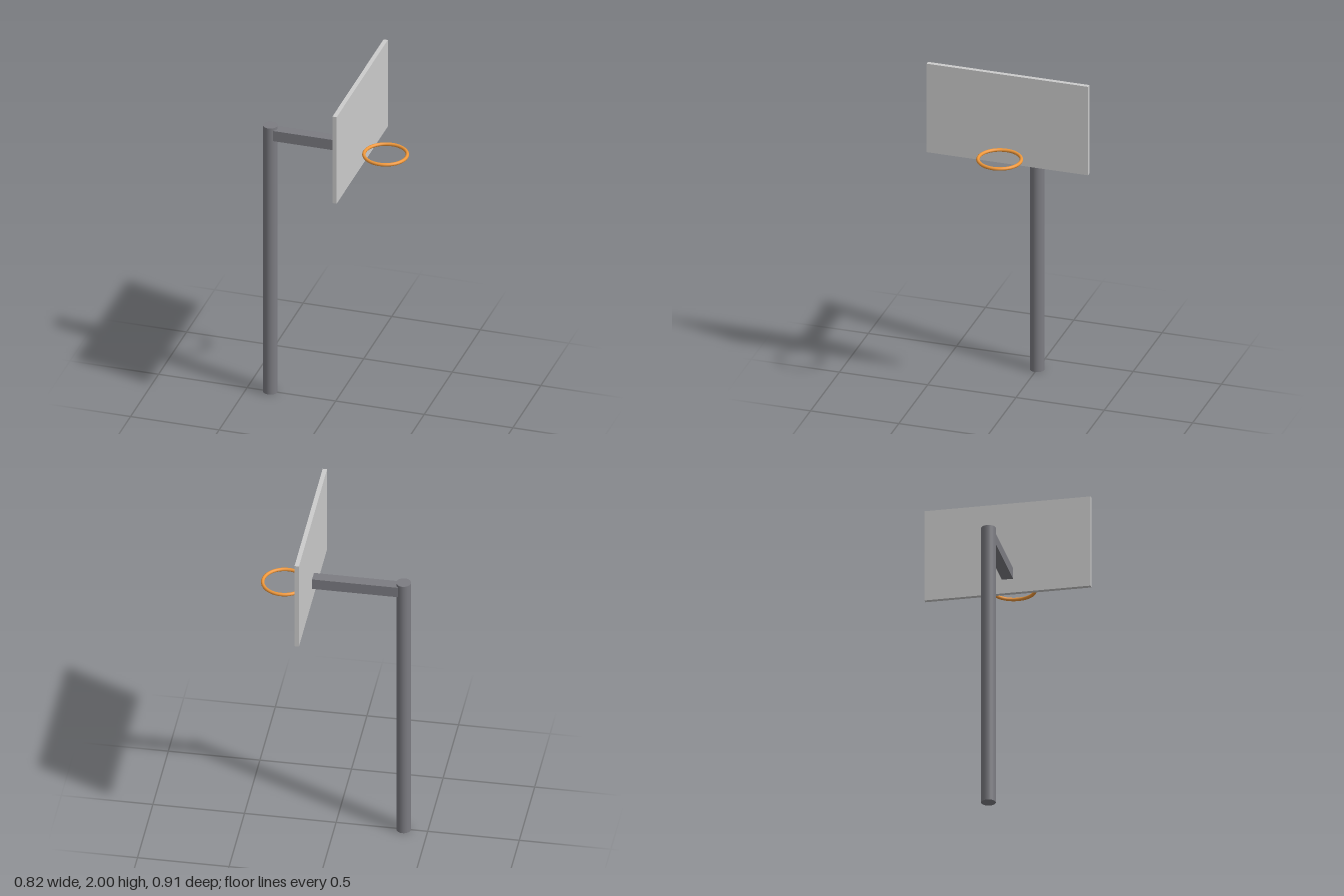
import * as THREE from 'three';

export function createModel() {
  const group = new THREE.Group();
  const steel = new THREE.MeshStandardMaterial({ color: 0x7c7c82 });
  const grey = new THREE.MeshStandardMaterial({ color: 0xcccccc });
  const orange = new THREE.MeshStandardMaterial({ color: 0xf0983a });

  const add = (name, geometry, material, x, y, z = 0) => {
    const mesh = new THREE.Mesh(geometry, material);
    mesh.name = name;
    mesh.position.set(x, y, z);
    group.add(mesh);
    return mesh;
  };

  const poleX = -0.369, poleHeight = 1.63;
  const boardX = 0.138, boardThickness = 0.024;

  // Upright post
  add('pole', new THREE.CylinderGeometry(0.04, 0.04, poleHeight, 24), steel, poleX, poleHeight / 2);

  // Square arm from the post's axis to the back of the board
  const armEnd = boardX - boardThickness / 2;
  add('arm', new THREE.BoxGeometry(armEnd - poleX, 0.062, 0.062), steel, (armEnd + poleX) / 2, 1.583);

  // Backboard
  add('backboard', new THREE.BoxGeometry(boardThickness, 0.53, 0.914), grey, boardX, 1.735);

  // Hoop ring, lying flat in front of the board
  const rim = add('rim', new THREE.TorusGeometry(0.117, 0.0095, 12, 48), orange, 0.282, 1.557);
  rim.rotation.x = Math.PI / 2;

  return group;
}
